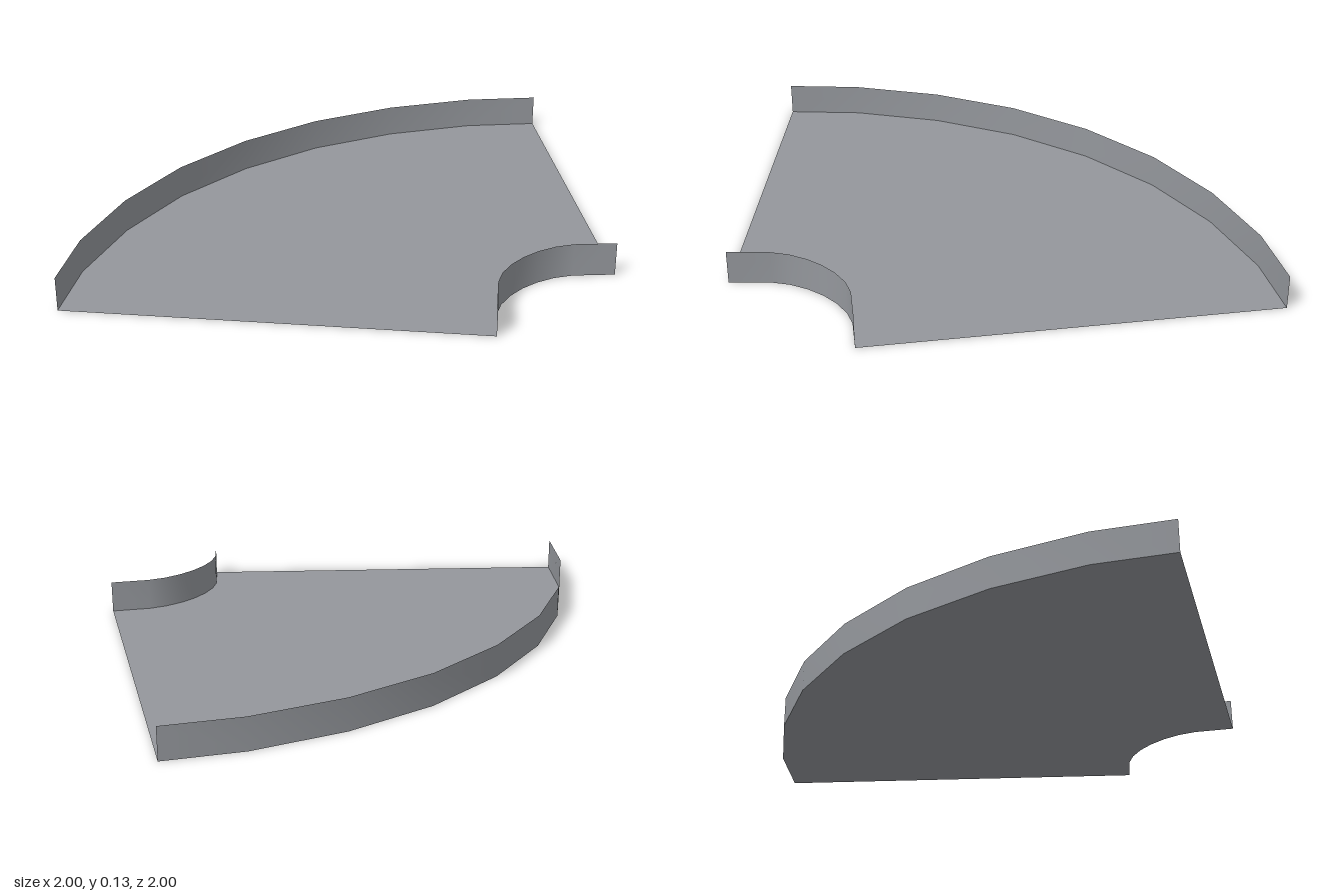
import * as THREE from 'three';

const HEIGHT = 0.128;

// Half arcs as [x, z], from the left-hand end to the middle; mirrored across x = z
const OUTER_HALF = [[-1, 0.845], [-0.967, 0.543], [-0.857, 0.185], [-0.682, -0.148], [-0.441, -0.441]];
const INNER_HALF = [[0.531, 1], [0.542, 0.843], [0.563, 0.773], [0.601, 0.706], [0.649, 0.649]];

function mirrorArc(half) {
  return [...half, ...half.slice(0, -1).reverse().map(([x, z]) => [z, x])];
}

// Thin upright strip with smooth normals along an arc
function wallGeometry(arc) {
  const positions = [];
  const index = [];
  arc.forEach(([x, z], i) => {
    positions.push(x, 0, z, x, HEIGHT, z);
    if (i > 0) {
      const a = 2 * (i - 1);
      index.push(a, a + 2, a + 3, a, a + 3, a + 1);
    }
  });
  const geometry = new THREE.BufferGeometry();
  geometry.setAttribute('position', new THREE.Float32BufferAttribute(positions, 3));
  geometry.setIndex(index);
  geometry.computeVertexNormals();
  return geometry;
}

export function createModel() {
  const group = new THREE.Group();
  group.name = 'curvedTrough';
  const metal = new THREE.MeshStandardMaterial({ color: 0x94979c, side: THREE.DoubleSide });
  metal.name = 'greyMetal';

  const add = (name, geometry) => {
    const mesh = new THREE.Mesh(geometry, metal);
    mesh.name = name;
    group.add(mesh);
  };

  const outer = mirrorArc(OUTER_HALF);
  const inner = mirrorArc(INNER_HALF);

  // Flat floor between the two arcs
  const outline = [...outer, ...inner.slice().reverse()].map(([x, z]) => new THREE.Vector2(x, -z));
  add('floor', new THREE.ShapeGeometry(new THREE.Shape(outline)).rotateX(-Math.PI / 2));

  // Upright side walls
  add('outerWall', wallGeometry(outer));
  add('innerWall', wallGeometry(inner));

  return group;
}
